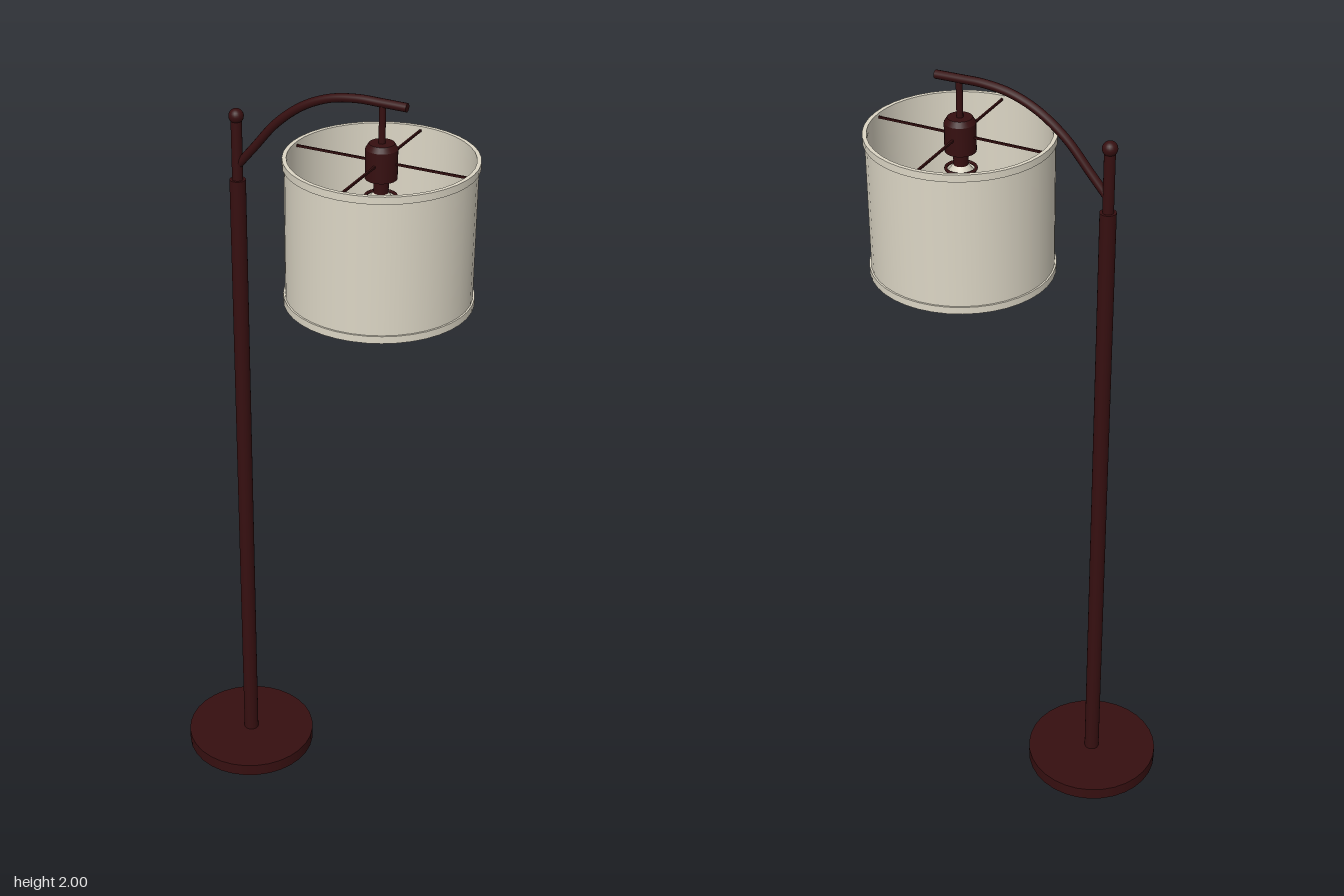
import * as THREE from 'three';

const POLE_X = -0.217;
const SHADE_X = 0.163;

export function createModel() {
  const model = new THREE.Group();
  model.name = 'floorLamp';

  const bronze = new THREE.MeshStandardMaterial({ color: 0x360f10 });
  bronze.name = 'dark bronze';
  const linen = new THREE.MeshStandardMaterial({ color: 0xdcd6c5 });
  linen.name = 'cream linen';

  function add(name, geometry, material, x = 0, y = 0, z = 0) {
    const mesh = new THREE.Mesh(geometry, material);
    mesh.name = name;
    mesh.position.set(x, y, z);
    model.add(mesh);
    return mesh;
  }
  // Upright cylinder between two heights
  function rod(name, x, y0, y1, r, sides = 20, rTop = r) {
    return add(name, new THREE.CylinderGeometry(rTop, r, y1 - y0, sides), bronze, x, (y0 + y1) / 2);
  }
  // Hollow ring wall with a rectangular section
  function wall(name, rIn, rOut, y0, y1) {
    const corners = [[rIn, y0], [rOut, y0], [rOut, y1], [rIn, y1], [rIn, y0]];
    // Each side is its own lathe so that the edges stay sharp
    for (let i = 0; i < 4; i++) {
      const points = [corners[i], corners[i + 1]].map(([r, y]) => new THREE.Vector2(r, y));
      add(name, new THREE.LatheGeometry(points, 40), linen, SHADE_X);
    }
  }

  // Base and pole
  rod('base', POLE_X, 0, 0.035, 0.178, 32);
  rod('pole', POLE_X, 0.035, 1.735, 0.02);
  rod('upperPole', POLE_X, 1.735, 1.89, 0.0135);
  add('finial', new THREE.SphereGeometry(0.0185, 20, 14), bronze, POLE_X, 1.895);

  // Curved arm with closed ends
  const path = new THREE.CatmullRomCurve3([
    [POLE_X, 1.77], [-0.17, 1.825], [-0.11, 1.895], [-0.04, 1.949],
    [0.03, 1.979], [0.1, 1.99], [0.16, 1.99], [0.224, 1.989],
  ].map(([x, y]) => new THREE.Vector3(x, y, 0)));
  add('arm', new THREE.TubeGeometry(path, 40, 0.0105, 12), bronze);
  const cap = add('armEnd', new THREE.CircleGeometry(0.0105, 12), bronze, 0.224, 1.989);
  cap.rotation.y = Math.PI / 2;

  // Hanging stem and socket
  rod('stem', SHADE_X, 1.88, 1.988, 0.008, 12);
  rod('socketTop', SHADE_X, 1.882, 1.895, 0.038, 24, 0.03);
  rod('socket', SHADE_X, 1.81, 1.882, 0.038, 24);
  rod('socketNeck', SHADE_X, 1.765, 1.81, 0.018);
  const collar = add('socketCollar', new THREE.TorusGeometry(0.036, 0.004, 8, 28), bronze, SHADE_X, 1.765);
  collar.rotation.x = Math.PI / 2;

  // Bulb
  const bulb = [[0.018, 1.775], [0.033, 1.755], [0.038, 1.725], [0.034, 1.7], [0.02, 1.683], [0, 1.678]]
    .reverse().map(([r, y]) => new THREE.Vector2(r, y));
  add('bulb', new THREE.LatheGeometry(bulb, 24), linen, SHADE_X);

  // Spokes that hold the shade
  for (let i = 0; i < 4; i++) {
    const a = i * Math.PI / 2;
    const spoke = add('spoke', new THREE.BoxGeometry(0.222, 0.005, 0.005), bronze,
      SHADE_X + Math.cos(a) * 0.111, 1.85, -Math.sin(a) * 0.111);
    spoke.rotation.y = a;
  }

  // Drum shade with a trim band at each rim
  wall('shade', 0.219, 0.224, 1.502, 1.858);
  wall('topTrim', 0.2185, 0.2285, 1.842, 1.86);
  wall('bottomTrim', 0.2185, 0.2285, 1.5, 1.518);

  return model;
}
